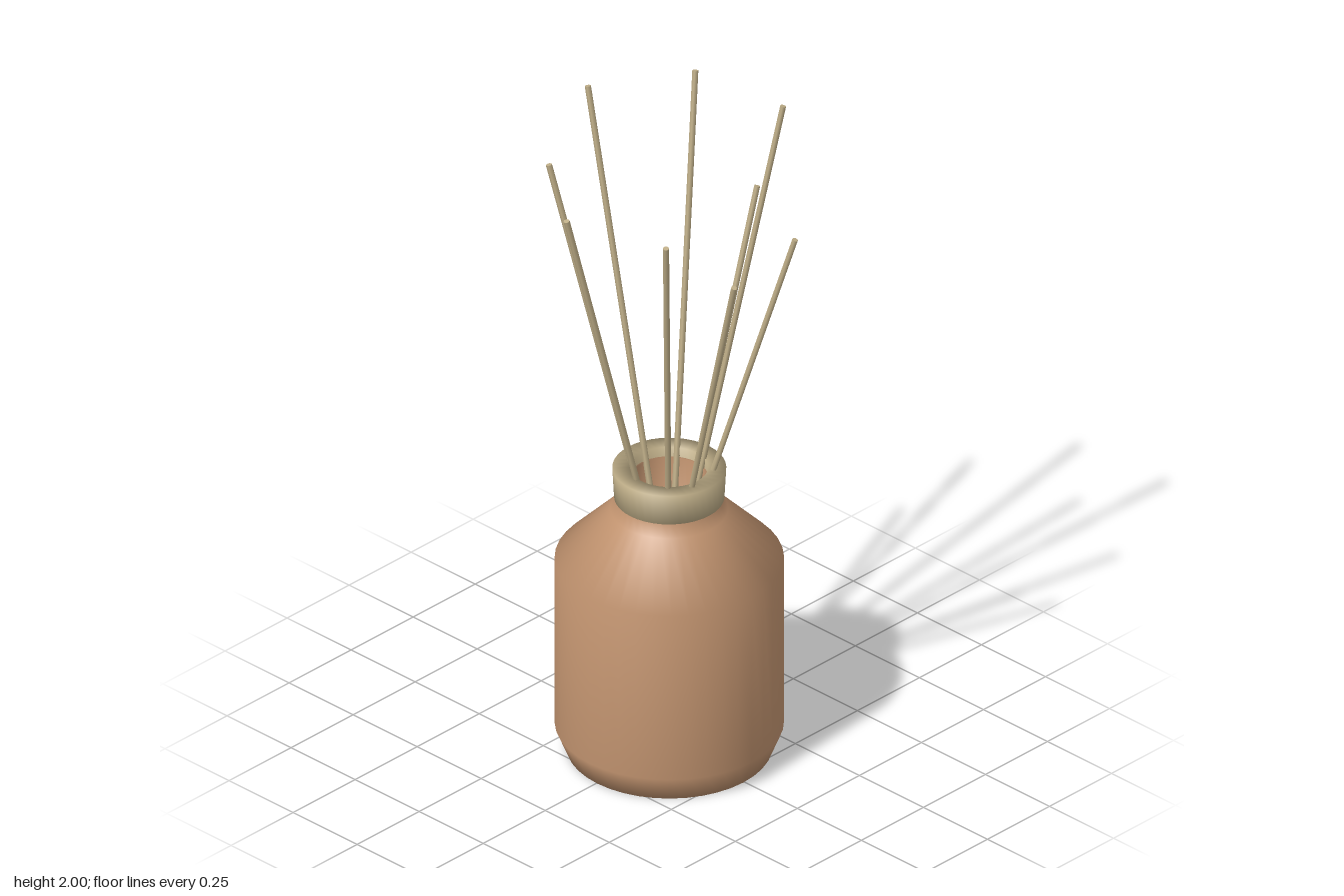
import * as THREE from 'three';

const CX = -0.003, CZ = 0.003; // axis of the jar

function lathe(name, points, material) {
  const geometry = new THREE.LatheGeometry(points.map(([r, y]) => new THREE.Vector2(r, y)), 40);
  const mesh = new THREE.Mesh(geometry, material);
  mesh.name = name;
  mesh.position.set(CX, 0, CZ);
  return mesh;
}

// A thin rod between two points
function rod(name, from, to, material) {
  const dir = to.clone().sub(from);
  const mesh = new THREE.Mesh(new THREE.CylinderGeometry(0.009, 0.009, dir.length(), 6), material);
  mesh.name = name;
  mesh.position.copy(from).add(to).multiplyScalar(0.5);
  mesh.quaternion.setFromUnitVectors(new THREE.Vector3(0, 1, 0), dir.normalize());
  return mesh;
}

export function createModel() {
  const group = new THREE.Group();
  group.name = 'reedDiffuser';
  const clay = new THREE.MeshStandardMaterial({ name: 'terracotta', color: 0xc1936f });
  const wood = new THREE.MeshStandardMaterial({ name: 'paleWood', color: 0xbfae88 });

  // Jar: outside from the base to the lip, then the inside down to its floor
  group.add(lathe('jar', [
    [0, 0], [0.29, 0], [0.322, 0.08], [0.322, 0.615], [0.165, 0.775], [0.148, 0.815],
    [0.13, 0.88], [0.103, 0.88], [0.103, 0.68], [0, 0.635],
  ], clay));

  // Collar around the neck
  group.add(lathe('collar', [
    [0.108, 0.815], [0.155, 0.815], [0.16, 0.91], [0.109, 0.91], [0.108, 0.815],
  ], wood));

  // Reeds: x, z and height of each tip
  const tips = [
    [-0.352, -0.06, 1.84], [-0.165, -0.31, 1.84], [0.028, -0.345, 2],
    [0.298, -0.187, 2], [0.35, 0.004, 1.68], [0.33, 0.125, 2],
    [0.213, 0.285, 1.68], [-0.095, 0.345, 1.68], [-0.265, 0.244, 1.84],
  ];
  const reeds = new THREE.Group();
  reeds.name = 'reeds';
  for (const [x, z, y] of tips) {
    const k = 0.047 / Math.hypot(x, z);
    reeds.add(rod('reed', new THREE.Vector3(x * k, 0.65, z * k), new THREE.Vector3(x, y - 0.002, z), wood));
  }
  group.add(reeds);
  return group;
}
